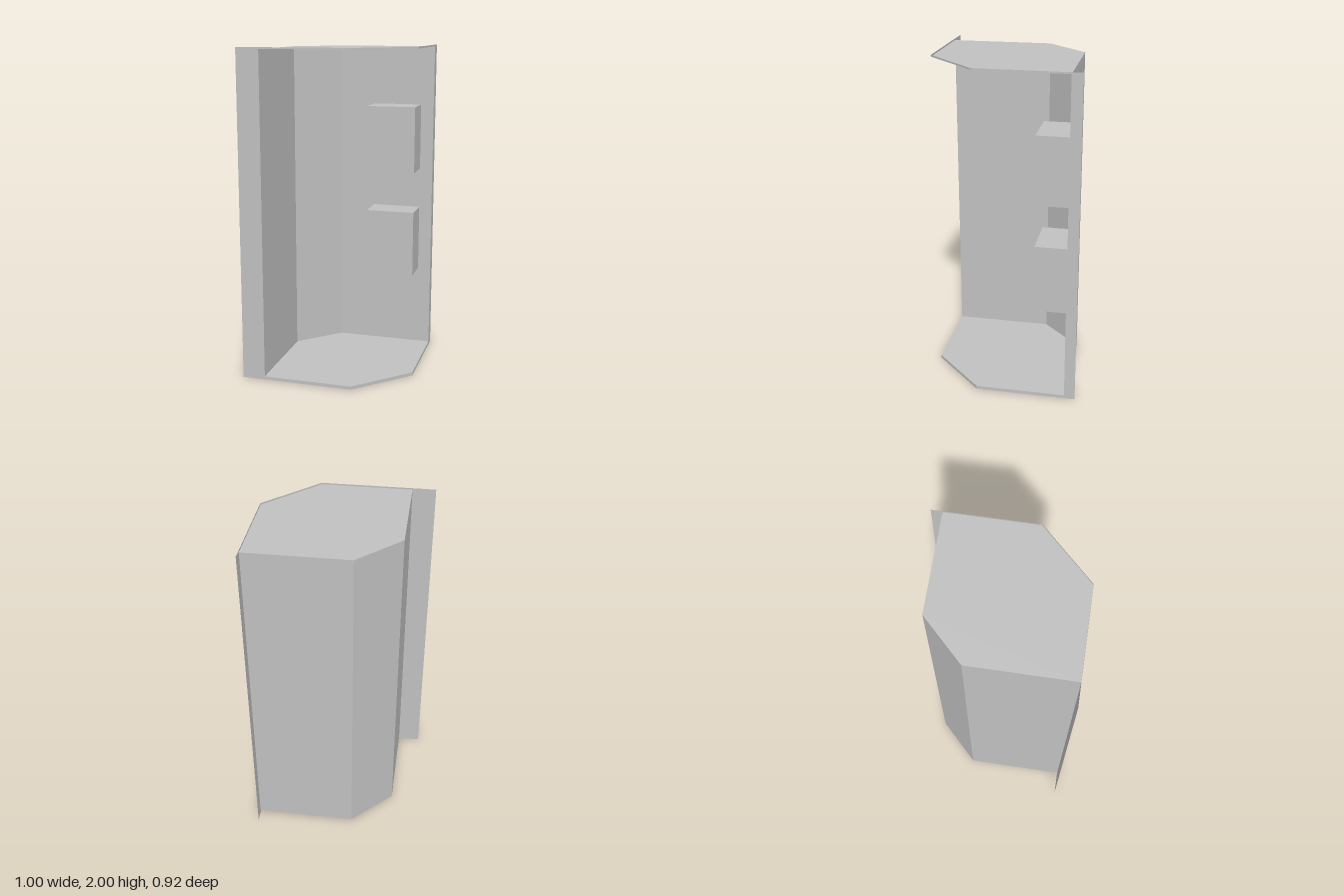
import * as THREE from 'three';

export function createModel() {
  const group = new THREE.Group();
  const grey = new THREE.MeshStandardMaterial({ color: 0xc0c0c0, side: THREE.DoubleSide });
  grey.name = 'light grey';

  const add = (name, geometry) => {
    const mesh = new THREE.Mesh(geometry, grey);
    mesh.name = name;
    group.add(mesh);
    return mesh;
  };

  // upright thin sheet following a path of [x, z] points
  const sheet = (name, path, y0, y1) => {
    const pos = [];
    for (let i = 0; i < path.length - 1; i++) {
      const [ax, az] = path[i], [bx, bz] = path[i + 1];
      pos.push(ax, y0, az, bx, y0, bz, bx, y1, bz, ax, y0, az, bx, y1, bz, ax, y1, az);
    }
    const g = new THREE.BufferGeometry();
    g.setAttribute('position', new THREE.Float32BufferAttribute(pos, 3));
    g.computeVertexNormals();
    return add(name, g);
  };

  // plan outline: three closed walls, then the open front edges
  const wallPath = [[-0.36, 0.46], [-0.36, -0.15], [-0.115, -0.395], [0.495, -0.395]];
  const openPath = [[-0.36, 0.46], [0.185, 0.46], [0.495, 0.15], [0.495, -0.395]];
  const floorY = 0.02, roofY = 1.99;

  sheet('walls', wallPath, floorY, roofY);

  // floor and roof sheets
  const outline = [...openPath, wallPath[2], wallPath[1]];
  const plan = new THREE.Shape(outline.map(([x, z]) => new THREE.Vector2(x, -z)));
  for (const [name, y] of [['floor', floorY], ['roof', roofY]]) {
    add(name, new THREE.ShapeGeometry(plan).rotateX(-Math.PI / 2)).position.y = y;
  }

  // narrow folded lips along the open edges
  sheet('floorLip', openPath, 0, floorY);
  sheet('roofLip', openPath, roofY, 2);

  // full-height mounting flanges
  sheet('frontFlange', [[-0.5, 0.46], [-0.36, 0.46]], 0, 2);
  sheet('backFlange', [[0.495, -0.395], [0.495, -0.46]], 0, 2);

  // two boxes on the back wall
  for (const [name, y] of [['lowerBox', 0.745], ['upperBox', 1.415]]) {
    add(name, new THREE.BoxGeometry(0.305, 0.415, 0.195)).position.set(0.263, y, -0.288);
  }
  return group;
}
